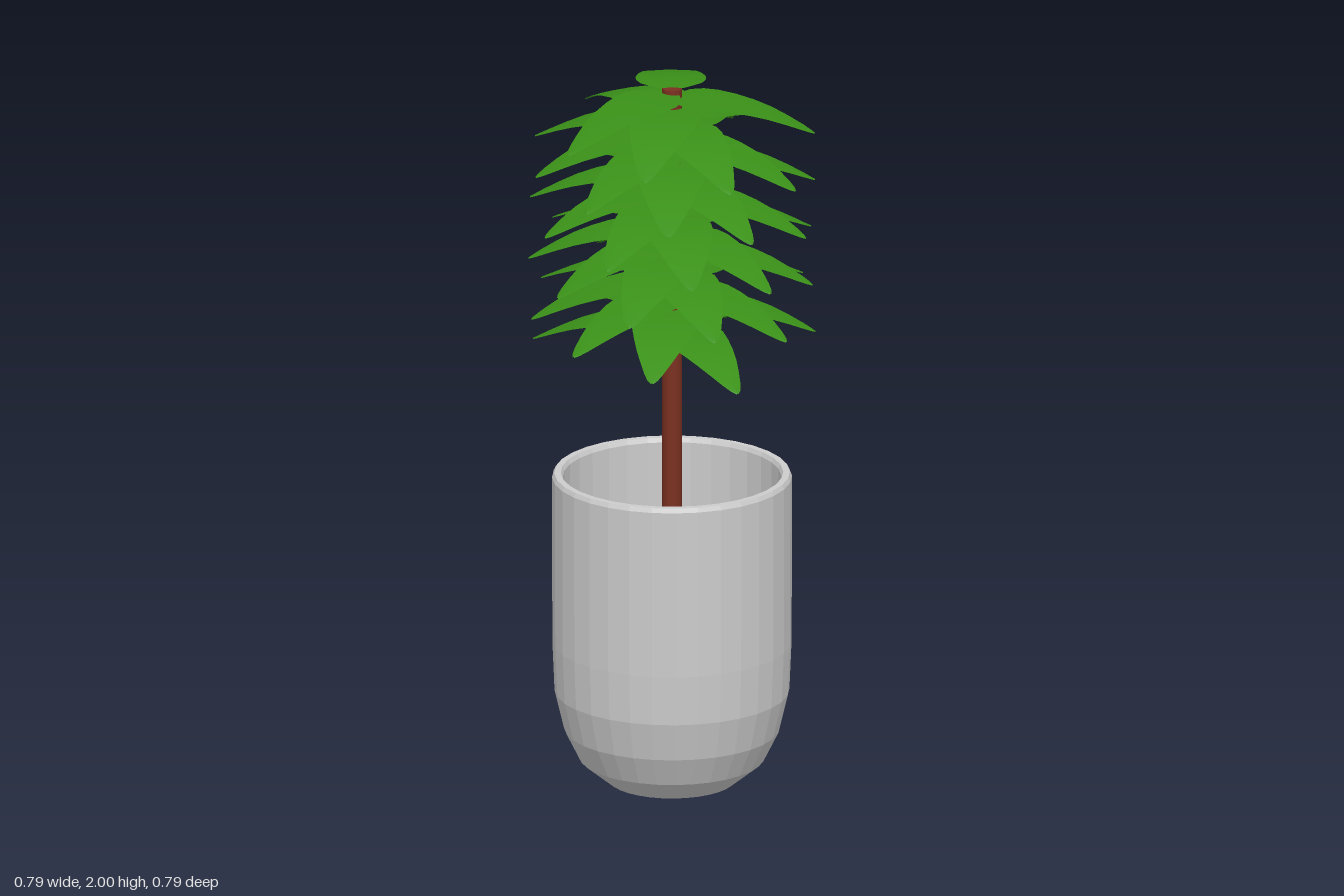
import * as THREE from 'three';

const V2 = (x, y) => new THREE.Vector2(x, y);

// One leaf along +x from its stem end: rows of [distance, height, half width]
const LEAF_ROWS = [
  [0, 0, 0.03], [0.02, 0, 0.056], [0.045, 0, 0.084], [0.08, -0.001, 0.097],
  [0.12, -0.004, 0.096], [0.17, -0.011, 0.086], [0.22, -0.022, 0.074],
  [0.27, -0.037, 0.06], [0.32, -0.057, 0.042], [0.36, -0.075, 0.026],
  [0.383, -0.086, 0.014], [0.394, -0.092, 0.003],
];

function leafGeometry() {
  const positions = [], index = [];
  LEAF_ROWS.forEach(([s, y, w], i) => {
    for (const side of [-1, 0, 1]) positions.push(s, y - (side ? 0.003 : 0), side * w);
    if (i === 0) return;
    for (let k = 0; k < 2; k++) {
      const a = (i - 1) * 3 + k, b = i * 3 + k;
      index.push(a, a + 1, b, b, a + 1, b + 1);
    }
  });
  const geometry = new THREE.BufferGeometry();
  geometry.setAttribute('position', new THREE.Float32BufferAttribute(positions, 3));
  geometry.setIndex(index);
  geometry.computeVertexNormals();
  return geometry;
}

export function createModel() {
  const plant = new THREE.Group();
  plant.name = 'pottedPlant';

  const potMaterial = new THREE.MeshStandardMaterial({ color: 0xcccccc, flatShading: true, side: THREE.DoubleSide });
  const trunkMaterial = new THREE.MeshStandardMaterial({ color: 0x7a3020 });
  const leafMaterial = new THREE.MeshStandardMaterial({ color: 0x3a9018, side: THREE.DoubleSide });

  // Hollow pot: outer wall, rim, inner wall and floor
  const profile = [
    V2(0, 0), V2(0.175, 0), V2(0.255, 0.065), V2(0.297, 0.15), V2(0.323, 0.26),
    V2(0.329, 0.4), V2(0.33, 0.875), V2(0.324, 0.887), V2(0.306, 0.887), V2(0.3, 0.875),
    V2(0.299, 0.4), V2(0.292, 0.27), V2(0.268, 0.17), V2(0.232, 0.095), V2(0.16, 0.04), V2(0, 0.04),
  ];
  const pot = new THREE.Mesh(new THREE.LatheGeometry(profile, 32), potMaterial);
  pot.name = 'pot';
  plant.add(pot);

  // Straight trunk standing on the pot floor
  const trunkBottom = 0.04, trunkTop = 1.997;
  const trunk = new THREE.Mesh(
    new THREE.CylinderGeometry(0.027, 0.027, trunkTop - trunkBottom, 20), trunkMaterial);
  trunk.position.y = (trunkBottom + trunkTop) / 2;
  trunk.name = 'trunk';
  plant.add(trunk);

  // Leaves climb the trunk in a spiral, starting at the back
  const foliage = new THREE.Group();
  foliage.name = 'foliage';
  const geometry = leafGeometry();
  const count = 50, step = 2.3, firstY = 1.307, lastY = 2.0;
  for (let i = 0; i < count; i++) {
    const leaf = new THREE.Mesh(geometry, leafMaterial);
    leaf.name = 'leaf';
    leaf.position.y = firstY + (lastY - firstY) * i / (count - 1);
    leaf.rotation.y = Math.PI / 2 - i * step;
    foliage.add(leaf);
  }
  plant.add(foliage);

  return plant;
}
